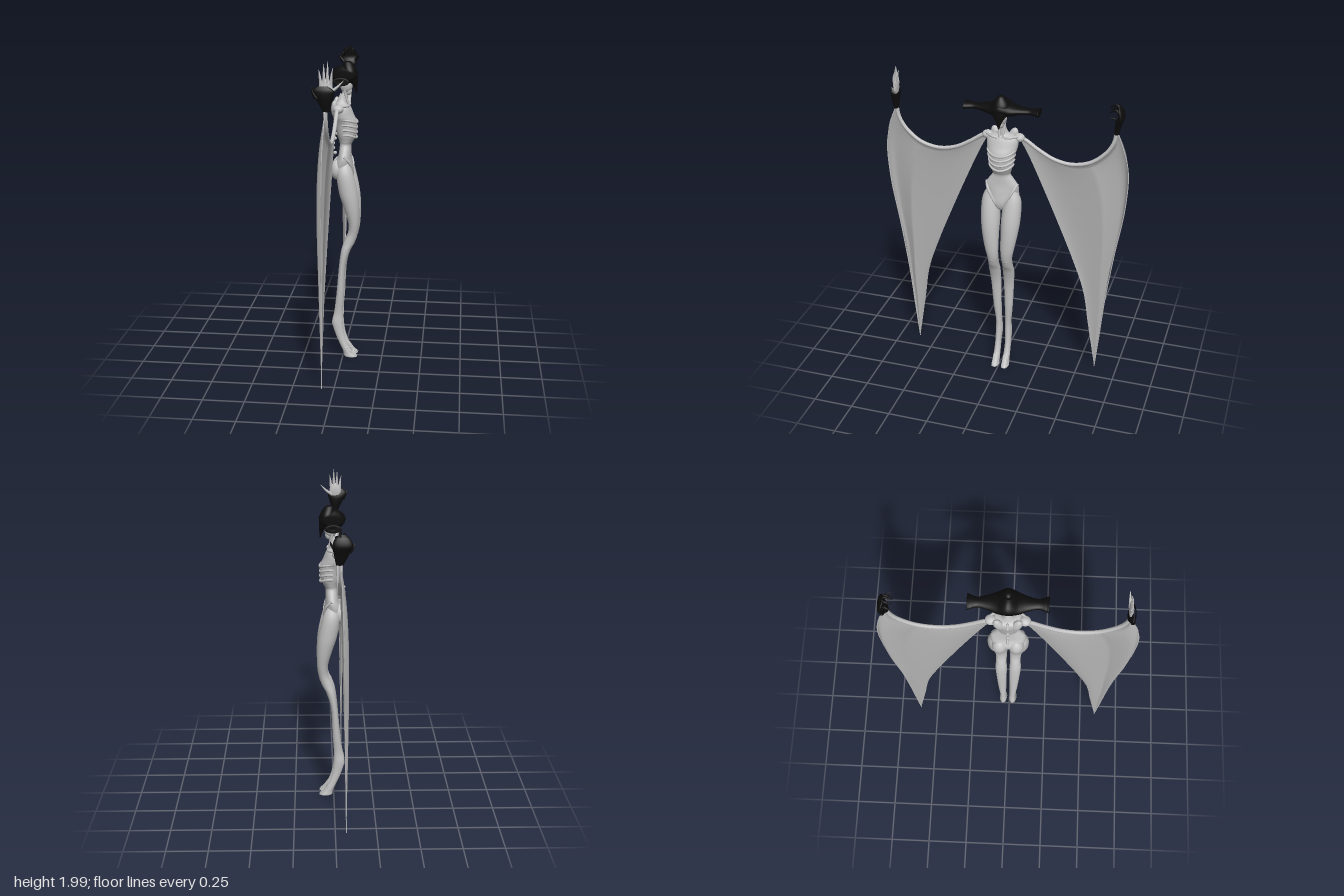
import * as THREE from 'three';
import { ParametricGeometry } from 'three/addons/geometries/ParametricGeometry.js';

const mat = (name, color, side = THREE.FrontSide) => {
  const m = new THREE.MeshStandardMaterial({ color, side });
  m.name = name;
  return m;
};
const V = (x, y, z) => new THREE.Vector3(x, y, z);
const spline = pts => new THREE.CatmullRomCurve3(pts, false, 'centripetal');

// Smooth elliptical loft, rows run from top to bottom: [y, cx, cz, rx, rz]
function loft(rows, sides = 24, stacks = 60) {
  const n = rows.length - 1;
  const at = (t, k) => {
    const i = Math.min(Math.floor(t * n), n - 1), f = t * n - i;
    const p = j => rows[Math.max(0, Math.min(n, j))][k];
    const a = p(i), b = p(i + 1);
    const m0 = (b - p(i - 1)) / 2, m1 = (p(i + 2) - a) / 2;
    const f2 = f * f, f3 = f2 * f;
    return (2 * f3 - 3 * f2 + 1) * a + (f3 - 2 * f2 + f) * m0 + (3 * f2 - 2 * f3) * b + (f3 - f2) * m1;
  };
  return new ParametricGeometry((u, v, out) => {
    const a = u * Math.PI * 2;
    out.set(at(v, 1) + Math.max(0.001, at(v, 3)) * Math.cos(a), Math.max(0, at(v, 0)),
      at(v, 2) + Math.max(0.001, at(v, 4)) * Math.sin(a));
  }, sides, stacks);
}

export function createModel() {
  const root = new THREE.Group();
  root.name = 'wingedFigure';
  const body = new THREE.Group();
  body.name = 'figure';
  body.position.z = -0.008;
  root.add(body);

  const skin = mat('pale skin', 0xc2c2c2);
  const membrane = mat('wing membrane', 0xb2b2b2, THREE.DoubleSide);
  const black = mat('black cloth', 0x0c0c0c);

  const add = (name, geo, m) => {
    const mesh = new THREE.Mesh(geo, m);
    mesh.name = name;
    body.add(mesh);
    return mesh;
  };
  const blob = (name, p, s, m = skin) => {
    const mesh = add(name, new THREE.SphereGeometry(1, 20, 14), m);
    mesh.position.set(...p);
    mesh.scale.set(...s);
    return mesh;
  };
  const tube = (name, pts, r, m = skin, seg = 24) =>
    add(name, new THREE.TubeGeometry(spline(pts), seg, r, 8), m);
  // Tapered curved finger or claw
  const claw = (name, pts, r, m) => {
    const c = spline(pts), N = 10, S = 6;
    const g = new THREE.TubeGeometry(c, N, r, S);
    const p = g.attributes.position;
    for (let i = 0; i <= N; i++) {
      const o = c.getPointAt(i / N), k = 1 - 0.92 * (i / N) ** 1.5;
      for (let j = 0; j <= S; j++) {
        const id = i * (S + 1) + j;
        const q = V(0, 0, 0).fromBufferAttribute(p, id).sub(o).multiplyScalar(k).add(o);
        p.setXYZ(id, q.x, q.y, q.z);
      }
    }
    g.computeVertexNormals();
    return add(name, g, m);
  };

  // Torso, neck and head
  add('torso', loft([
    [1.70, 0, 0, 0.018, 0.016], [1.645, -0.01, 0, 0.032, 0.036], [1.62, -0.01, 0, 0.053, 0.092],
    [1.57, 0, 0, 0.064, 0.096], [1.52, 0.016, 0, 0.068, 0.083], [1.45, 0.022, 0, 0.06, 0.072],
    [1.41, 0.019, 0, 0.044, 0.06], [1.385, 0.015, 0, 0.036, 0.056], [1.35, 0.013, 0, 0.037, 0.08],
    [1.31, 0.01, 0, 0.042, 0.104], [1.26, 0.002, 0, 0.058, 0.1], [1.2, 0.012, 0, 0.055, 0.085],
    [1.16, 0.02, 0, 0.035, 0.035], [1.14, 0.02, 0, 0.002, 0.002],
  ], 28, 90), skin);
  add('neck', loft([[1.76, 0.015, 0, 0.022, 0.02], [1.69, 0.01, 0, 0.018, 0.017], [1.62, 0, 0, 0.026, 0.026]]), skin);
  blob('head', [0.018, 1.755, 0], [0.04, 0.055, 0.032]);
  blob('jaw', [0.03, 1.715, 0], [0.022, 0.028, 0.018]);

  // Ribs and spine
  for (let i = 0; i < 4; i++) {
    const y = 1.535 - i * 0.031, rx = 0.069 - i * 0.003, rz = 0.085 - i * 0.004, pts = [];
    for (let k = -6; k <= 6; k++) {
      const a = k * 0.3;
      pts.push(V(0.016 + i * 0.002 + rx * Math.cos(a), y - 0.012 * Math.cos(a * 2), rz * Math.sin(a)));
    }
    tube('rib', pts, 0.007, skin, 36);
  }
  for (let i = 0; i < 11; i++) {
    const y = 1.63 - i * 0.03;
    blob('vertebra', [-0.028 - 0.034 * Math.cos((y - 1.6) * 14) ** 2, y, 0], [0.011, 0.011, 0.009]);
  }

  for (const s of [1, -1]) {
    // Bony landmarks
    blob('shoulder', [-0.02, 1.617, s * 0.098], [0.032, 0.026, 0.034]);
    const scapula = blob('shoulderBlade', [-0.046, 1.61, s * 0.052], [0.022, 0.058, 0.03]);
    scapula.rotation.x = s * 0.3;
    tube('collarbone', [V(0.03, 1.622, s * 0.012), V(0.035, 1.63, s * 0.05), V(-0.005, 1.632, s * 0.105)], 0.008);
    tube('neckTendon', [V(0.035, 1.622, s * 0.01), V(0.018, 1.68, s * 0.016), V(0.005, 1.74, s * 0.022)], 0.006);
    tube('hipBone', [V(0.01, 1.325, s * 0.098), V(0.045, 1.285, s * 0.078), V(0.058, 1.22, s * 0.04), V(0.052, 1.17, s * 0.008)], 0.009);
    blob('buttock', [-0.03, 1.235, s * 0.05], [0.044, 0.062, 0.046]);

    // Leg and pointed foot
    add('leg', loft([
      [1.3, 0.015, s * 0.06, 0.02, 0.02], [1.22, 0.017, s * 0.069, 0.05, 0.052], [1.1, 0.037, s * 0.065, 0.058, 0.06],
      [1.0, 0.057, s * 0.06, 0.048, 0.054], [0.9, 0.07, s * 0.051, 0.034, 0.044], [0.83, 0.064, s * 0.045, 0.031, 0.036],
      [0.77, 0.042, s * 0.045, 0.034, 0.034], [0.71, 0.018, s * 0.045, 0.028, 0.037], [0.6, -0.003, s * 0.042, 0.021, 0.033],
      [0.42, -0.016, s * 0.037, 0.024, 0.026], [0.3, -0.028, s * 0.031, 0.027, 0.02], [0.23, -0.034, s * 0.031, 0.034, 0.023],
      [0.15, -0.018, s * 0.033, 0.028, 0.02], [0.08, 0.008, s * 0.033, 0.025, 0.021], [0.03, 0.036, s * 0.033, 0.031, 0.023],
      [0, 0.053, s * 0.033, 0.04, 0.024], [0, 0.053, s * 0.033, 0.001, 0.001],
    ], 20, 100), skin);
    blob('kneecap', [0.07, 0.815, s * 0.046], [0.021, 0.028, 0.024]);
    blob('heel', [-0.05, 0.225, s * 0.031], [0.019, 0.028, 0.017]);
    for (let i = -1; i <= 1; i++)
      claw('toe', [V(0.03, 0.065, s * 0.033 + i * 0.011), V(0.058, 0.03, s * 0.033 + i * 0.013), V(0.093, 0.003, s * 0.033 + i * 0.014)], 0.009, skin);

    // Arm sweeping down and up to the wrist
    const arm = spline([[0.09, 1.622], [0.135, 1.605], [0.21, 1.555], [0.31, 1.502], [0.42, 1.483],
      [0.535, 1.512], [0.628, 1.59], [0.667, 1.66], [0.68, 1.74]].map(([z, y]) => V(-0.025, y, s * z)));
    add('arm', new THREE.TubeGeometry(arm, 60, 0.012, 10), skin);

    // Membrane hanging from the arm, gathered to one low point
    const edge = pts => spline(pts.map(([z, y], i) => V(-0.027 - 0.038 * (i / (pts.length - 1)), y, s * z)));
    const inner = edge([[0.09, 1.622], [0.145, 1.52], [0.25, 1.286], [0.345, 1.06], [0.435, 0.836], [0.515, 0.6], [0.553, 0.36], [0.606, 0.035]]);
    const outer = edge([[0.68, 1.74], [0.74, 1.59], [0.76, 1.39], [0.735, 1.09], [0.677, 0.757], [0.64, 0.386], [0.606, 0.035]]);
    const a0 = arm.getPoint(0), a1 = arm.getPoint(1);
    add('wing', new ParametricGeometry((u, v, out) => {
      const sag = arm.getPoint(u).sub(a0.clone().lerp(a1, u)).multiplyScalar((1 - v) ** 1.4);
      out.copy(inner.getPointAt(v)).lerp(outer.getPointAt(v), u).add(sag);
      const fold = u < 0.62 ? Math.sin(u / 0.62 * Math.PI) * 0.012 : Math.sin((u - 0.62) / 0.38 * Math.PI) * 0.03;
      out.x -= fold * Math.sin(Math.PI * Math.sqrt(v));
    }, 32, 40), membrane);
    tube('wingHem', [0, 0.15, 0.3, 0.5, 0.7, 0.85, 1].map(t => outer.getPointAt(t)), 0.003, skin, 40);
  }

  // Hat: wide bar with flared ends, crown and drooping front peak
  const half = [[0.228, 0.001, 0.001], [0.228, 0.047, 0.023], [0.212, 0.045, 0.021], [0.17, 0.032, 0.018],
    [0.11, 0.046, 0.023], [0.06, 0.066, 0.036]];
  const rows = [...half.map(([z, rx, ry]) => [z, 0.008, -1.803, rx, ry]), [0, 0.01, -1.815, 0.08, 0.056],
    ...half.slice().reverse().map(([z, rx, ry]) => [-z, 0.008, -1.803, rx, ry])];
  const bar = loft(rows.map(r => [r[0] + 1, ...r.slice(1)]), 24, 78);
  bar.translate(0, -1, 0);
  bar.rotateX(Math.PI / 2);
  add('hatBrim', bar, black);
  add('hatPeak', loft([[1.895, 0.025, 0, 0.004, 0.004], [1.885, 0.028, 0, 0.026, 0.022], [1.84, 0.04, 0, 0.042, 0.052],
    [1.79, 0.055, 0, 0.033, 0.048], [1.745, 0.073, 0, 0.014, 0.02], [1.70, 0.081, 0, 0.003, 0.003]]), black);

  // Open left hand in a black cuff
  add('leftCuff', loft([[1.855, -0.04, 0.69, 0.03, 0.006], [1.83, -0.036, 0.688, 0.06, 0.017], [1.8, -0.032, 0.684, 0.054, 0.022],
    [1.76, -0.026, 0.682, 0.036, 0.02], [1.715, -0.02, 0.68, 0.02, 0.014]]), black);
  claw('leftCuffPoint', [V(-0.07, 1.79, 0.688), V(-0.09, 1.82, 0.69), V(-0.1, 1.85, 0.692)], 0.015, black);
  blob('leftPalm', [-0.022, 1.845, 0.674], [0.038, 0.048, 0.011]);
  [[-0.05, -0.062, 1.955], [-0.032, -0.034, 1.985], [-0.014, -0.012, 2.0], [0.004, 0.016, 1.965]].forEach(([x, tx, ty]) =>
    claw('leftFinger', [V(x, 1.86, 0.674), V((x + tx) / 2, 1.92, 0.676), V(tx, ty - 0.012, 0.668)], 0.01, skin));
  claw('leftThumb', [V(0.0, 1.82, 0.674), V(0.035, 1.845, 0.67), V(0.075, 1.885, 0.665)], 0.011, skin);

  // Curled right hand, fully gloved
  add('rightGlove', loft([[1.885, -0.035, -0.684, 0.016, 0.006], [1.86, -0.035, -0.695, 0.044, 0.014], [1.82, -0.036, -0.702, 0.056, 0.018],
    [1.78, -0.03, -0.69, 0.043, 0.02], [1.715, -0.02, -0.68, 0.02, 0.014]]), black);
  [[-0.068, 1.85], [-0.046, 1.875], [-0.024, 1.885], [-0.002, 1.86]].forEach(([x, y]) =>
    claw('rightFinger', [V(x, y - 0.02, -0.695), V(x, y + 0.008, -0.675), V(x * 1.1, y - 0.003, -0.65), V(x * 1.15, y - 0.015, -0.625)], 0.01, black));
  claw('rightThumb', [V(0.005, 1.8, -0.69), V(0.025, 1.825, -0.675), V(0.03, 1.835, -0.64)], 0.01, black);
  claw('rightCuffPoint', [V(-0.07, 1.79, -0.69), V(-0.09, 1.815, -0.69), V(-0.102, 1.84, -0.688)], 0.015, black);

  return root;
}
